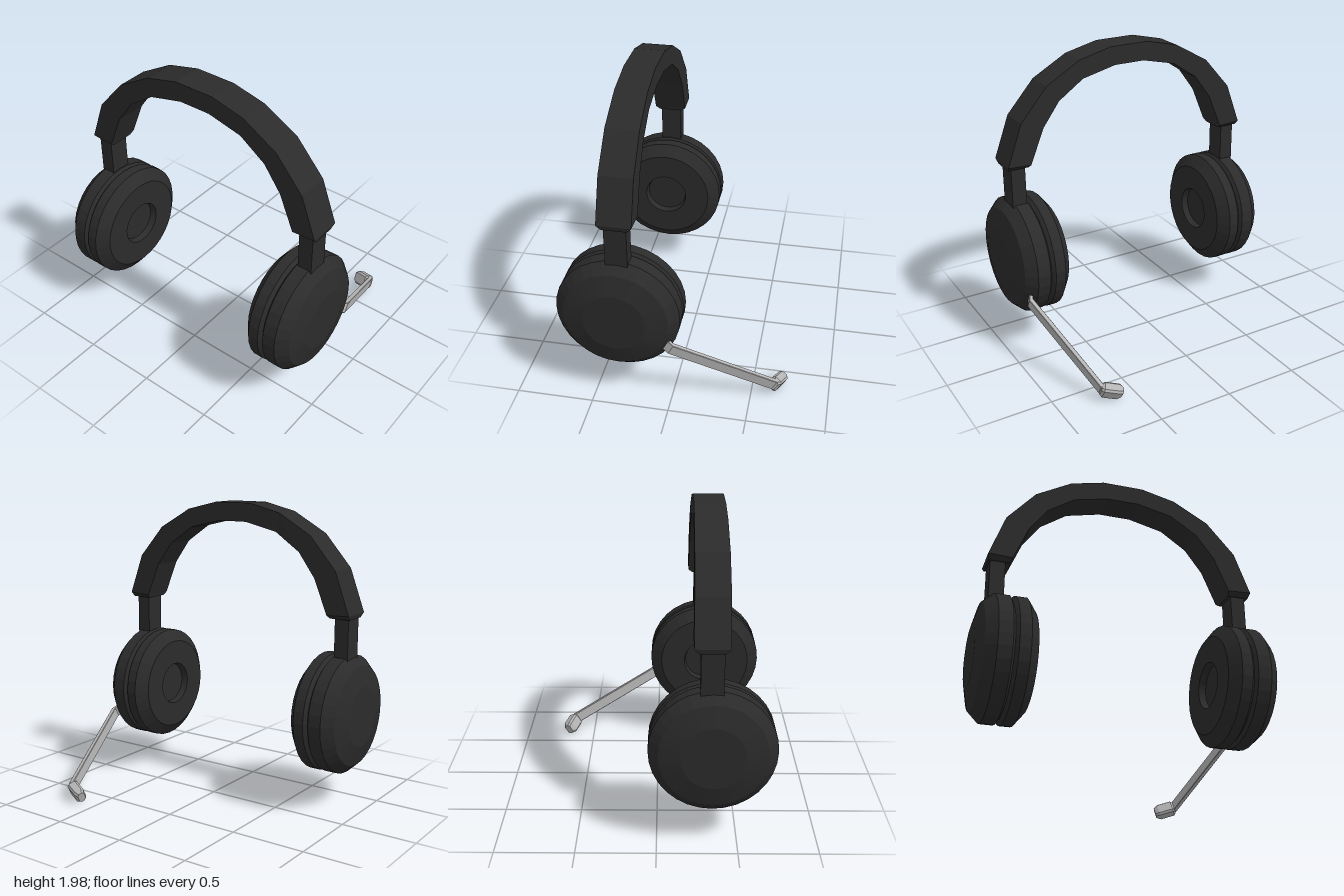
import * as THREE from 'three';

const black = new THREE.MeshStandardMaterial({ color: 0x2b2b2b });
black.name = 'matte black';
const grey = new THREE.MeshStandardMaterial({ color: 0xb4b4b4 });
grey.name = 'light grey';

const vec = (x, y, z) => new THREE.Vector3(x, y, z);

function addMesh(parent, name, geometry, material) {
  const flat = geometry.index ? geometry.toNonIndexed() : geometry;
  flat.computeVertexNormals(); // unshared corners give faceted shading
  const mesh = new THREE.Mesh(flat, material);
  mesh.name = name;
  parent.add(mesh);
  return mesh;
}

// Closed solid through rings of points, wound right-handed about the travel direction
function loft(rings) {
  const pos = [];
  const tri = (...pts) => pts.forEach((p) => pos.push(p.x, p.y, p.z));
  const n = rings[0].length;
  const last = rings[rings.length - 1];
  for (let i = 0; i < rings.length - 1; i++) {
    for (let j = 0; j < n; j++) {
      const k = (j + 1) % n;
      tri(rings[i][j], rings[i][k], rings[i + 1][k]);
      tri(rings[i][j], rings[i + 1][k], rings[i + 1][j]);
    }
  }
  for (let j = 1; j < n - 1; j++) {
    tri(rings[0][0], rings[0][j + 1], rings[0][j]);
    tri(last[0], last[j], last[j + 1]);
  }
  const g = new THREE.BufferGeometry();
  g.setAttribute('position', new THREE.Float32BufferAttribute(pos, 3));
  return g;
}

// Rectangle with cut corners, square to direction dir
function section(center, dir, up, hu, hv, cut) {
  const d = dir.clone().normalize();
  const v = d.clone().cross(up).normalize();
  const u = v.clone().cross(d);
  const outline = [
    [hu, -hv + cut], [hu, hv - cut], [hu - cut, hv], [-hu + cut, hv],
    [-hu, hv - cut], [-hu, -hv + cut], [-hu + cut, -hv], [hu - cut, -hv],
  ];
  return outline.map(([a, b]) => center.clone().addScaledVector(u, a).addScaledVector(v, b));
}

function lathe(points) {
  const g = new THREE.LatheGeometry(points.map(([r, z]) => new THREE.Vector2(r, z)), 32);
  return g.rotateX(Math.PI / 2);
}

// Ear cup: outer shell, cushion with a round recess, and slider
function makeCup(name) {
  const cup = new THREE.Group();
  cup.name = name;
  const shell = lathe([
    [0, 0.745], [0.372, 0.745], [0.397, 0.762], [0.397, 0.85],
    [0.335, 0.917], [0.2, 0.952], [0, 0.952],
  ]);
  const cushion = lathe([
    [0, 0.64], [0.14, 0.64], [0.15, 0.595], [0.32, 0.595],
    [0.397, 0.655], [0.397, 0.725], [0.372, 0.746], [0, 0.746],
  ]);
  for (const [part, g] of [['shell', shell], ['cushion', cushion]]) {
    addMesh(cup, part, g, black).position.set(-0.343, 0.641, 0);
  }
  const slider = addMesh(cup, 'slider', new THREE.BoxGeometry(0.14, 0.36, 0.098), black);
  slider.position.set(-0.33, 1.13, 0.818);
  return cup;
}

export function createModel() {
  const model = new THREE.Group();
  model.name = 'headset';

  // Ear cups, the second one mirrored to the back
  model.add(makeCup('frontEarCup'));
  const back = makeCup('backEarCup');
  back.rotation.y = Math.PI;
  back.children.forEach((m) => { m.position.x *= -1; });
  model.add(back);

  // Headband: outer z, outer y, inner z, inner y, half width
  const half = [
    [0.885, 1.284, 0.742, 1.284, 0.078],
    [0.893, 1.315, 0.735, 1.307, 0.108],
    [0.79, 1.595, 0.638, 1.54, 0.107],
    [0.602, 1.81, 0.52, 1.7, 0.105],
    [0.365, 1.945, 0.343, 1.82, 0.102],
    [0.137, 2.0, 0.108, 1.875, 0.1],
  ];
  const bandRow = ([oz, oy, iz, iy, w], s) => {
    const c = -0.327;
    return [
      vec(c + w, oy, s * oz), vec(c + w, iy, s * iz),
      vec(c - w, iy, s * iz), vec(c - w, oy, s * oz),
    ];
  };
  const bandRings = [
    ...half.map((r) => bandRow(r, 1)),
    ...half.slice().reverse().map((r) => bandRow(r, -1)),
  ];
  const band = addMesh(model, 'headband', loft(bandRings), black);
  band.position.z = 0.006;

  // Microphone boom with a short bend at the cup
  const mic = new THREE.Group();
  mic.name = 'microphone';
  model.add(mic);
  const up = vec(0.48, 0.877, 0);
  const boomPath = [vec(-0.045, 0.472, 0.872), vec(0.0, 0.447, 0.894), vec(0.645, 0.1, 0.722)];
  const along = boomPath[2].clone().sub(boomPath[1]);
  const boomRings = boomPath.map((p) => section(p, along, up, 0.037, 0.015, 0.003));
  addMesh(mic, 'boom', loft(boomRings), grey);

  // Microphone tip, turned inward, with bevelled ends
  const a = vec(0.642, 0.1, 0.728);
  const b = vec(0.69, 0.062, 0.6);
  const dir = b.clone().sub(a);
  const tipRings = [[0, 0.036, 0.024], [0.12, 0.048, 0.036], [0.8, 0.048, 0.036], [1, 0.036, 0.024]]
    .map(([t, hu, hv]) => section(a.clone().lerp(b, t), dir, up, hu, hv, 0.013));
  addMesh(mic, 'microphoneTip', loft(tipRings), grey);

  return model;
}
